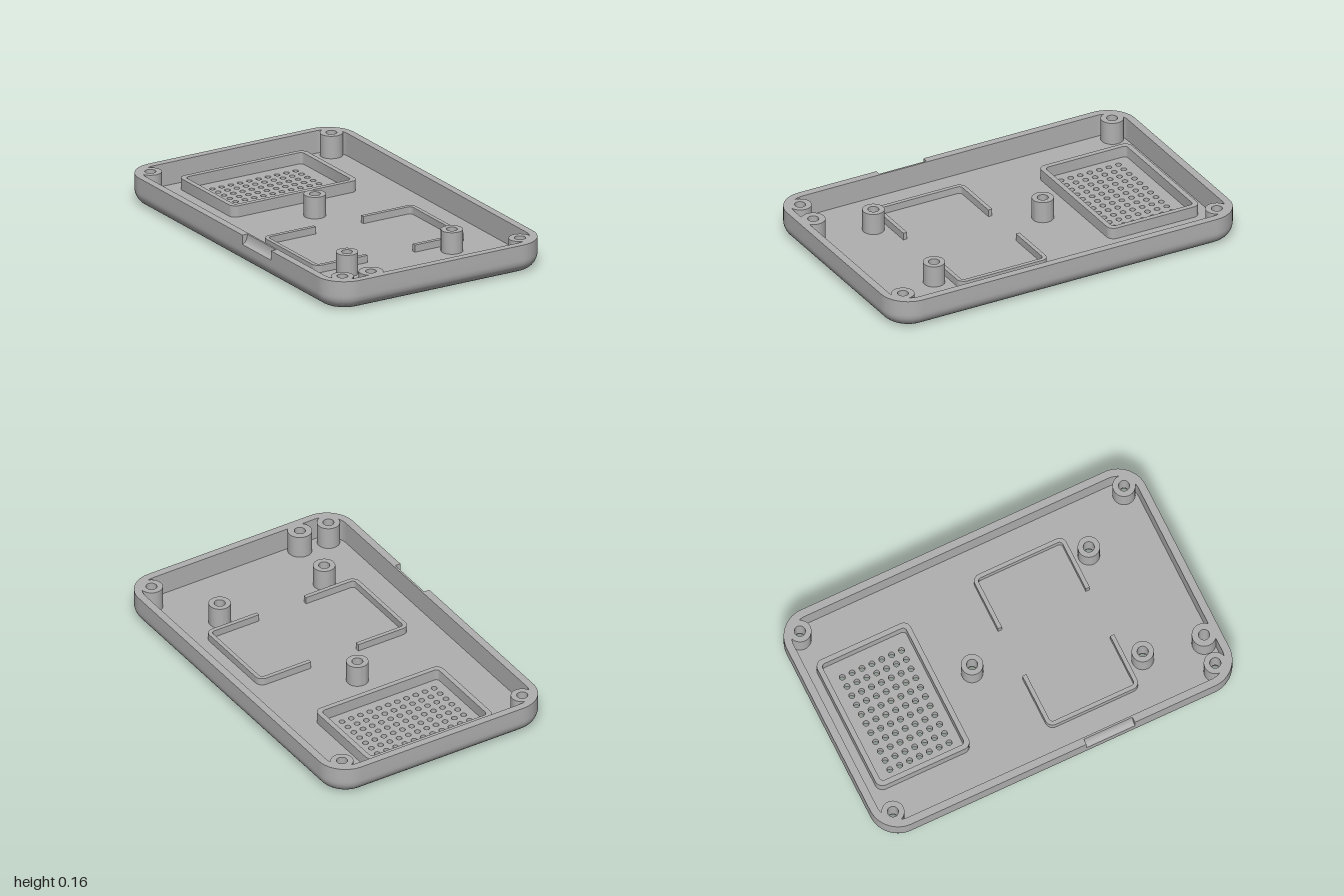
import * as THREE from 'three';
import { mergeGeometries, toCreasedNormals } from 'three/addons/utils/BufferGeometryUtils.js';

const W = 0.635, L = 1, H = 0.16;        // half width, half length, height
const CORNER = 0.155, FILLET = 0.08, WALL = 0.04, FLOOR = 0.04;
const FLAT = 0.17;                       // inset where the plain middle of the base begins
const HOLE = 0.028, BORE = 0.044;        // screw hole and screw head recess

const cornerPosts = [[-0.535, -0.9], [0.535, -0.9], [-0.525, 0.9], [0.525, 0.9]];
const innerPosts = [[0, -0.2], [-0.31, 0.6], [0.31, 0.6]];
const strapPost = [-0.365, 0.915];
const grille = [];
for (let i = 0; i < 11; i++) for (let j = 0; j < 7; j++) grille.push([-0.287 + i * 0.0547, -0.797 + j * 0.055]);

// Height of the rounded underside at a point
function underside(x, z) {
  const qx = Math.abs(x) - W + CORNER, qz = Math.abs(z) - L + CORNER;
  const d = CORNER - Math.min(Math.max(qx, qz), 0) - Math.hypot(Math.max(qx, 0), Math.max(qz, 0));
  return d < FILLET ? FILLET - Math.sqrt(Math.max(0, FILLET ** 2 - (FILLET - Math.max(d, 0)) ** 2)) : 0;
}

// Rounded rectangle inset by d; "cut" marks the stretch with the finger scoop
function ring(d, notched) {
  const r = Math.max(CORNER - d, 0), cx = W - d - r, cz = L - d - r, pts = [];
  const signs = [[1, 1], [-1, 1], [-1, -1], [1, -1]];
  const at = (k, t) => {
    const a = (k + t) * Math.PI / 2;
    return [signs[k][0] * cx + r * Math.cos(a), signs[k][1] * cz + r * Math.sin(a)];
  };
  const z0 = L - CORNER, a = (z0 - 0.4) / (2 * z0), b = (z0 - 0.13) / (2 * z0);
  for (let k = 0; k < 4; k++) {
    for (let i = 0; i <= 24; i++) pts.push([...at(k, i / 24), false]);
    const n = k % 2 ? 140 : 80, p = at(k, 1), q = at((k + 1) % 4, 0);
    let stops = [];
    for (let i = 1; i < n; i++) stops.push([i / n, false]);
    if (notched && k === 1) {
      stops = [...stops.filter(s => s[0] < a), [a, false], [a, true],
        ...stops.filter(s => s[0] > a && s[0] < b).map(s => [s[0], true]),
        [b, true], [b, false], ...stops.filter(s => s[0] > b)];
    }
    for (const [f, cut] of stops) pts.push([p[0] + (q[0] - p[0]) * f, p[1] + (q[1] - p[1]) * f, cut]);
  }
  return pts;
}

// Skin closed rows of points; triangles lying wholly inside a hole are left out
function loft(rows) {
  const pos = [], n = rows[0].length;
  const tri = (a, b, c) => {
    if (a.hole && a.hole === b.hole && a.hole === c.hole) return;
    pos.push(...a.p, ...b.p, ...c.p);
  };
  for (let j = 0; j < rows.length - 1; j++) for (let i = 0; i < n; i++) {
    const k = (i + 1) % n, a = rows[j][i], b = rows[j + 1][i], c = rows[j][k], d = rows[j + 1][k];
    tri(a, b, c);
    tri(b, d, c);
  }
  const g = new THREE.BufferGeometry();
  g.setAttribute('position', new THREE.Float32BufferAttribute(pos, 3));
  return g;
}

// Rim of the base and rounded lower edge, with points eased onto the hole circles
function undersideGeometry() {
  const holes = [...cornerPosts.map(([x, z]) => ({ x, z, r: BORE })), { x: strapPost[0], z: strapPost[1], r: HOLE }];
  const insets = [];
  for (let i = 0; i < 9; i++) insets.push(FLAT - i * 0.01);
  for (let i = 0; i <= 12; i++) insets.push(FILLET * (1 - Math.sin(i / 12 * Math.PI / 2)));
  return loft(insets.map(d => ring(d, false).map(([x, z]) => {
    const hole = holes.find(h => Math.hypot(x - h.x, z - h.z) < h.r);
    if (hole) {
      const a = Math.atan2(z - hole.z, x - hole.x);
      x = hole.x + hole.r * Math.cos(a);
      z = hole.z + hole.r * Math.sin(a);
    }
    return { p: [x, underside(x, z), z], hole };
  })));
}

// Side wall: up the outside, over the rim and down inside, with the scoop on one side
function wallGeometry() {
  const profile = [[0, FILLET, 0], [0, 0.11, 0]];
  for (let i = 1; i <= 6; i++) {
    const a = i / 6 * Math.PI / 2;
    profile.push([0, 0.11 + 0.05 * (1 - Math.cos(a)), 0.03 * Math.sin(a)]);
  }
  profile.push([WALL, H, WALL], [WALL, FLOOR, WALL]);
  return loft(profile.map(([d, y, dCut]) => {
    const plain = ring(d, true), scooped = ring(dCut, true);
    return plain.map((p, i) => {
      const q = p[2] ? scooped[i] : p;
      return { p: [q[0], y, q[1]] };
    });
  }));
}

function roundRect(Type, x0, y0, x1, y1, r) {
  const s = new Type();
  s.moveTo(x0 + r, y0);
  s.lineTo(x1 - r, y0); s.absarc(x1 - r, y0 + r, r, -Math.PI / 2, 0);
  s.lineTo(x1, y1 - r); s.absarc(x1 - r, y1 - r, r, 0, Math.PI / 2);
  s.lineTo(x0 + r, y1); s.absarc(x0 + r, y1 - r, r, Math.PI / 2, Math.PI);
  s.lineTo(x0, y0 + r); s.absarc(x0 + r, y0 + r, r, Math.PI, Math.PI * 1.5);
  return s;
}

function punch(shape, centres, r, flip = 1) {
  for (const [x, z] of centres) shape.holes.push(new THREE.Path().absarc(x, z * flip, r, 0, Math.PI * 2, true));
}

// Raised rib: shape drawn in x and z, standing from the floor to the given top
function rib(shape, top) {
  return new THREE.ExtrudeGeometry(shape, { depth: top - FLOOR + 0.002, bevelEnabled: false, curveSegments: 10 })
    .rotateX(Math.PI / 2).translate(0, top, 0);
}

// Screw post with through hole; the lower lip follows the rounded underside
function post([x, z], radius, top, bore) {
  const pts = [[radius, FLOOR - 0.002], [radius, top], [HOLE, top]];
  if (bore > HOLE) pts.push([HOLE, 0.05], [bore, 0.05]);
  pts.push([bore, 0]);
  const g = new THREE.LatheGeometry(pts.map(p => new THREE.Vector2(...p)), 40).translate(x, 0, z);
  const p = g.attributes.position;
  for (let i = 0; i < p.count; i++) if (p.getY(i) < 0.001) p.setY(i, underside(p.getX(i), p.getZ(i)));
  return toCreasedNormals(g, 0.6);
}

export function createModel() {
  const group = new THREE.Group();
  const grey = new THREE.MeshStandardMaterial({ color: 0xb0b0b0 });
  grey.name = 'grey plastic';
  const add = (name, geometry) => {
    const mesh = new THREE.Mesh(geometry, grey);
    mesh.name = name;
    group.add(mesh);
    return mesh;
  };

  // Tray shell
  add('shell', toCreasedNormals(mergeGeometries([undersideGeometry(), wallGeometry()]), 0.6));

  // Flat middle of the base, seen from below
  const base = roundRect(THREE.Shape, -W + FLAT, -L + FLAT, W - FLAT, L - FLAT, 0.0001);
  punch(base, innerPosts, BORE);
  punch(base, grille, 0.015);
  add('base', new THREE.ShapeGeometry(base, 16).rotateX(Math.PI / 2));

  // Inside floor
  const floor = roundRect(THREE.Shape, -W + WALL, -L + WALL, W - WALL, L - WALL, CORNER - WALL);
  punch(floor, [...cornerPosts, ...innerPosts, strapPost], HOLE, -1);
  punch(floor, grille, 0.015, -1);
  add('floor', new THREE.ShapeGeometry(floor, 16).rotateX(-Math.PI / 2).translate(0, FLOOR, 0));

  // Linings of the grille holes
  const lining = [new THREE.Vector2(0.015, FLOOR), new THREE.Vector2(0.015, 0)];
  add('grilleHoles', mergeGeometries(grille.map(([x, z]) => new THREE.LatheGeometry(lining, 32).translate(x, 0, z))));

  // Screw posts
  cornerPosts.forEach(c => add('cornerPost', post(c, 0.058, H, BORE)));
  innerPosts.forEach(c => add('innerPost', post(c, 0.056, 0.155, BORE)));
  add('strapPost', post(strapPost, 0.062, H, HOLE));

  // Frame around the grille
  const frame = roundRect(THREE.Shape, -0.372, -0.9, 0.372, -0.38, 0.04);
  frame.holes.push(roundRect(THREE.Path, -0.345, -0.873, 0.345, -0.407, 0.02));
  add('grilleFrame', toCreasedNormals(rib(frame, 0.1), 0.6));

  // Pair of facing brackets
  const u = new THREE.Shape();
  u.moveTo(0.14, 0.012);
  u.lineTo(0.405, 0.012); u.absarc(0.405, 0.052, 0.04, -Math.PI / 2, 0);
  u.lineTo(0.445, 0.483); u.absarc(0.405, 0.483, 0.04, 0, Math.PI / 2);
  u.lineTo(0.14, 0.523); u.lineTo(0.14, 0.501);
  u.lineTo(0.405, 0.501); u.absarc(0.405, 0.483, 0.018, Math.PI / 2, 0, true);
  u.lineTo(0.423, 0.052); u.absarc(0.405, 0.052, 0.018, 0, -Math.PI / 2, true);
  u.lineTo(0.14, 0.034);
  const bracket = toCreasedNormals(rib(u, 0.078), 0.6);
  add('leftBracket', bracket);
  const other = add('rightBracket', bracket);
  other.rotation.y = Math.PI;
  other.position.z = 0.535;

  return group;
}
